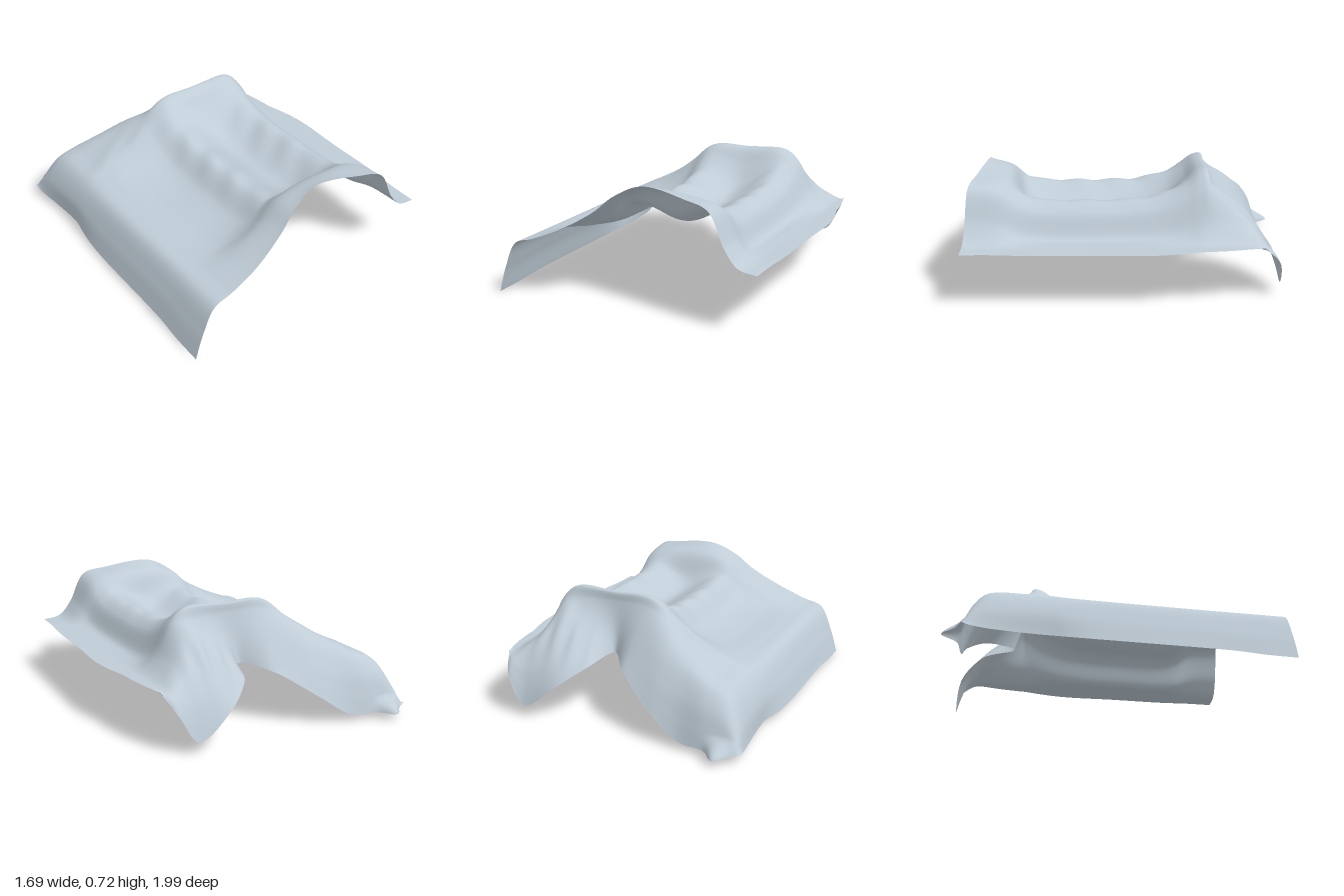
import * as THREE from 'three';

const { lerp, clamp, smoothstep } = THREE.MathUtils;
const V = (x, y, z) => new THREE.Vector3(x, y, z);
const bump = (x, c, w) => Math.exp(-(((x - c) / w) ** 2));
const spline = pts => new THREE.CatmullRomCurve3(pts, false, 'centripetal');

// Cross-sections of the cloth, left hem to right hem, as [x, y]
const overFront = [[-.85, 0], [-.8, .16], [-.72, .32], [-.6, .36], [-.42, .435], [-.22, .55], [-.1, .65],
  [.06, .72], [.36, .69], [.51, .65], [.61, .46], [.69, .37], [.8, .35]];
const overSeat = [[-.84, .02], [-.79, .18], [-.71, .325], [-.6, .347], [-.42, .358], [-.24, .405], [-.09, .53],
  [.18, .435], [.43, .55], [.52, .5], [.6, .365], [.68, .352], [.825, .35]];
const overRidge = [[-.8, .04], [-.79, .18], [-.71, .325], [-.58, .385], [-.4, .475], [-.25, .585], [-.1, .7],
  [.15, .71], [.42, .71], [.51, .64], [.61, .44], [.7, .36], [.785, .35]];

// Back hem, as [x, y, z]
const backHem = [[-.84, .06, -.9], [-.8, .05, -.91], [-.71, .04, -.9], [-.6, .04, -.9], [-.46, .045, -.88],
  [-.25, .18, -.84], [-.02, .33, -.7], [.12, .36, -.53], [.19, .325, -.72], [.34, .22, -.85],
  [.56, .07, -.87], [.67, .23, -.85], [.73, .345, -.75]];

// A section between two profiles; the front hem bows inward where bow > 0
const blend = (a, b, w, z, bow = 0) => a.map(([x, y], i) =>
  V(lerp(x, b[i][0], w), lerp(y, b[i][1], w), z + bow * (.09 - .11 * bump(x, .08, .37))));

// Hanging section: high columns fall steeply and then flare, low ones run level and then fall
const hanging = s => overRidge.map(([x, y], i) => {
  const [hx, hy, hz] = backHem[i];
  const high = clamp((y - .35) / .36, 0, 1);
  return V(lerp(x, hx, s), lerp(y, hy, s ** lerp(5, 1.15, high)), lerp(-.44, hz, s ** lerp(.65, 1.4, high)));
});

// Soft wrinkles on the arms, the seat corners and the hanging folds
function wrinkle(p) {
  const arms = bump(p.x, -.08, .11) + bump(p.x, .35, .1);
  p.y += .007 * bump(p.z, .1, .5) * arms * Math.sin(p.z * 27 + p.x * 16);
  p.y += .008 * bump(p.z, .66, .035) * bump(p.x, .1, .4) * Math.sin(p.x * 17);
  p.y += .01 * bump(p.z + .3 * (p.x + .5), -.45, .06) * bump(p.x, -.5, .15);
  p.z += .012 * bump(p.z, -.66, .09) * bump(p.x, .38, .2) * Math.sin(p.x * 55);
  // right hem reaching out beside the seat
  p.x += .02 * smoothstep(p.x, .7, .82) * bump(p.z, -.1, .25);
  // small tail at the back left corner
  const hang = smoothstep(-p.z, .7, .85);
  p.z -= .1 * hang * bump(p.x, -.71, .06) * (1 - smoothstep(p.y, .04, .13));
  p.y = Math.max(p.y, 0);
  return p;
}

// Loft the sections with splines in both directions
function clothGeometry(nu = 140, nv = 160) {
  const sections = [
    // front board sinking to the seat
    blend(overFront, overSeat, 0, .9, 1),
    blend(overFront, overSeat, .2, .75, .5),
    blend(overFront, overSeat, .75, .65, .1),
    blend(overFront, overSeat, .95, .54),
    // seat rising to the back ridge
    blend(overSeat, overRidge, 0, .3),
    blend(overSeat, overRidge, .05, -.02),
    blend(overSeat, overRidge, .28, -.2),
    blend(overSeat, overRidge, .62, -.31),
    blend(overSeat, overRidge, .95, -.39),
    // drape behind the ridge
    ...[0, .2, .4, .6, .8, .92, 1].map(hanging),
  ].map(spline);
  const positions = [], index = [], columns = [];
  for (let i = 0; i <= nu; i++) columns.push(spline(sections.map(c => c.getPoint(i / nu))));
  for (let j = 0; j <= nv; j++)
    for (let i = 0; i <= nu; i++)
      positions.push(...wrinkle(columns[i].getPoint(j / nv)).toArray());
  for (let j = 0; j < nv; j++)
    for (let i = 0; i < nu; i++) {
      const a = j * (nu + 1) + i, b = a + nu + 1;
      index.push(a, a + 1, b, a + 1, b + 1, b);
    }
  const g = new THREE.BufferGeometry();
  g.setAttribute('position', new THREE.Float32BufferAttribute(positions, 3));
  g.setIndex(index);
  g.computeVertexNormals();
  return g;
}

export function createModel() {
  const group = new THREE.Group();
  group.name = 'drapedCloth';
  const fabric = new THREE.MeshStandardMaterial({ color: 0xbfccd6, side: THREE.DoubleSide });
  fabric.name = 'paleBlueFabric';
  const cloth = new THREE.Mesh(clothGeometry(), fabric);
  cloth.name = 'clothSheet';
  group.add(cloth);
  return group;
}
